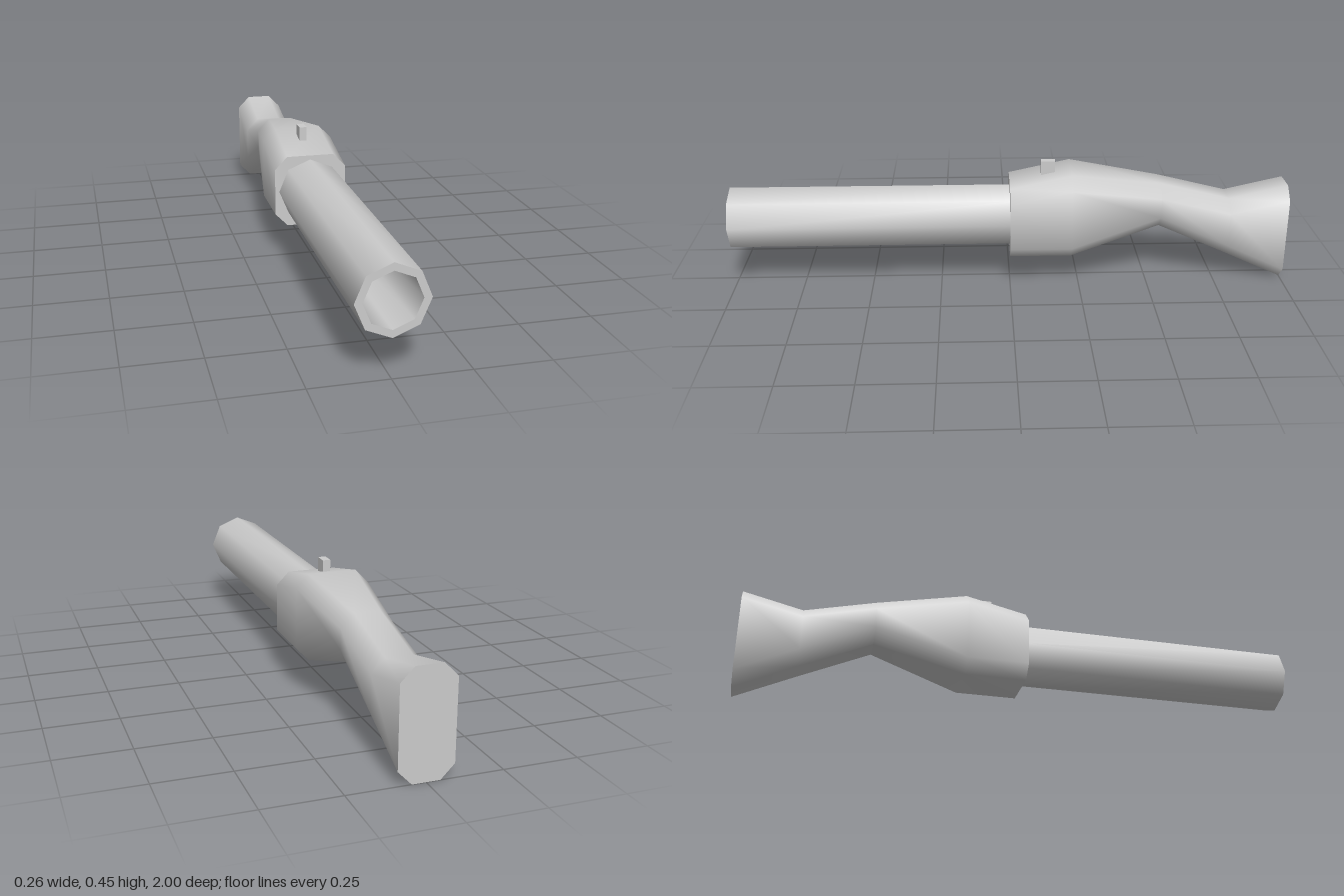
import * as THREE from 'three';
import { toCreasedNormals } from 'three/addons/utils/BufferGeometryUtils.js';

const CREASE = 0.9;

// Octagonal section with chamfered corners, counter-clockwise seen from +z
function section([z, w, top, bottom]) {
  const c = 0.046, f = w - 0.045;
  return [
    [w, bottom + c], [w, top - c], [f, top], [-f, top],
    [-w, top - c], [-w, bottom + c], [-f, bottom], [f, bottom],
  ].map(([x, y]) => [x, y, z]);
}

// Skin a row of sections running from front to back, with both ends capped
function loft(rings) {
  const n = rings[0].length, last = (rings.length - 1) * n, index = [];
  for (let i = 0; i < rings.length - 1; i++) {
    for (let j = 0; j < n; j++) {
      const k = (j + 1) % n;
      const a = i * n + j, b = i * n + k, c = b + n, d = a + n;
      if (j === 3 || j === 7) index.push(a, d, c, a, c, b);
      else index.push(a, d, b, b, d, c);
    }
  }
  for (let j = 1; j < n - 1; j++) {
    index.push(0, j, j + 1, last, last + j + 1, last + j);
  }
  const geometry = new THREE.BufferGeometry();
  geometry.setAttribute('position', new THREE.Float32BufferAttribute(rings.flat(2), 3));
  geometry.setIndex(index);
  return toCreasedNormals(geometry, CREASE);
}

export function createModel() {
  const group = new THREE.Group();
  const material = new THREE.MeshStandardMaterial({ color: 0xcccccc });
  const add = (name, geometry) => {
    const mesh = new THREE.Mesh(geometry, material);
    mesh.name = name;
    group.add(mesh);
    return mesh;
  };

  // Stock: z, half width, top, bottom of each section
  add('stock', loft([
    [0, 0.13, 0.374, 0.113],
    [-0.22, 0.13, 0.422, 0.113],
    [-0.54, 0.09, 0.374, 0.211],
    [-0.79, 0.09, 0.312, 0.098],
    [-1, 0.09, 0.36, 0],
  ].map(section)));

  // Hollow eight-sided barrel, its bore closed by the front of the stock
  const profile = [[0.115, 0], [0.115, 1], [0.09, 1], [0.09, 0]]
    .map(([r, y]) => new THREE.Vector2(r, y));
  const tube = new THREE.LatheGeometry(profile, 8);
  tube.rotateX(Math.PI / 2);
  add('barrel', toCreasedNormals(tube, CREASE)).position.y = 0.244;

  // Sight block on top of the stock
  add('sight', new THREE.BoxGeometry(0.027, 0.059, 0.05)).position.set(0, 0.42, -0.138);

  return group;
}
